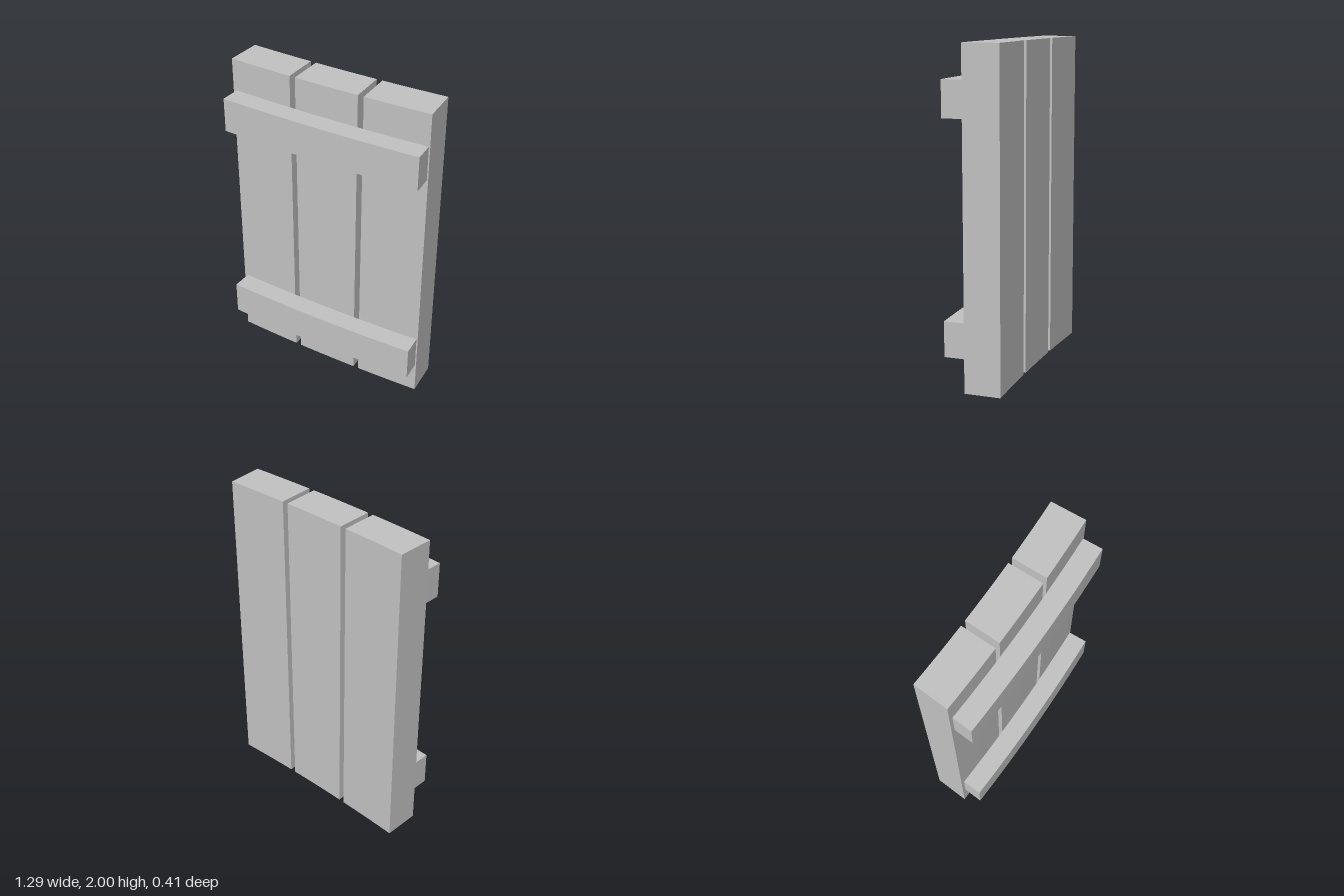
import * as THREE from 'three';

// The shutter bends gently about a vertical axis, starting at its +x edge
const EDGE_X = 0.645;
const FACE_Z = 0.08;
const RADIUS = 12; // radius of the boards' front face
const STEPS = 4;

// Point on the bend: angle from the +x edge, offset outwards from the front face
function bendPoint(angle, offset) {
  const r = RADIUS + offset;
  const z = FACE_Z - RADIUS + r * Math.cos(angle);
  return new THREE.Vector2(EDGE_X - r * Math.sin(angle), -z);
}

// Curved slab between two arc lengths and two offsets, standing from y0 to y1
function curvedSlab(name, material, from, to, inner, outer, y0, y1, steps) {
  const points = [];
  for (let i = 0; i <= steps; i++) {
    points.push(bendPoint((from + (to - from) * i / steps) / RADIUS, outer));
  }
  for (let i = steps; i >= 0; i--) {
    points.push(bendPoint((from + (to - from) * i / steps) / RADIUS, inner));
  }
  const geometry = new THREE.ExtrudeGeometry(new THREE.Shape(points), {
    depth: y1 - y0, bevelEnabled: false,
  });
  geometry.rotateX(-Math.PI / 2).translate(0, y0, 0);
  const mesh = new THREE.Mesh(geometry, material);
  mesh.name = name;
  return mesh;
}

export function createModel() {
  const group = new THREE.Group();
  group.name = 'shutter';
  const grey = new THREE.MeshStandardMaterial({ color: 0xc0c0c0 });
  grey.name = 'light grey';

  // Three upright boards with narrow gaps
  const width = 0.407;
  const pitch = 0.443;
  ['leftBoard', 'middleBoard', 'rightBoard'].forEach((name, i) => {
    group.add(curvedSlab(name, grey, i * pitch, i * pitch + width, -0.22, 0, 0, 2, STEPS));
  });

  // Two battens across the front
  [['lowerBatten', 0.205], ['upperBatten', 1.585]].forEach(([name, y]) => {
    group.add(curvedSlab(name, grey, 0.008, 1.27, 0, 0.125, y, y + 0.215, STEPS * 3));
  });

  return group;
}
